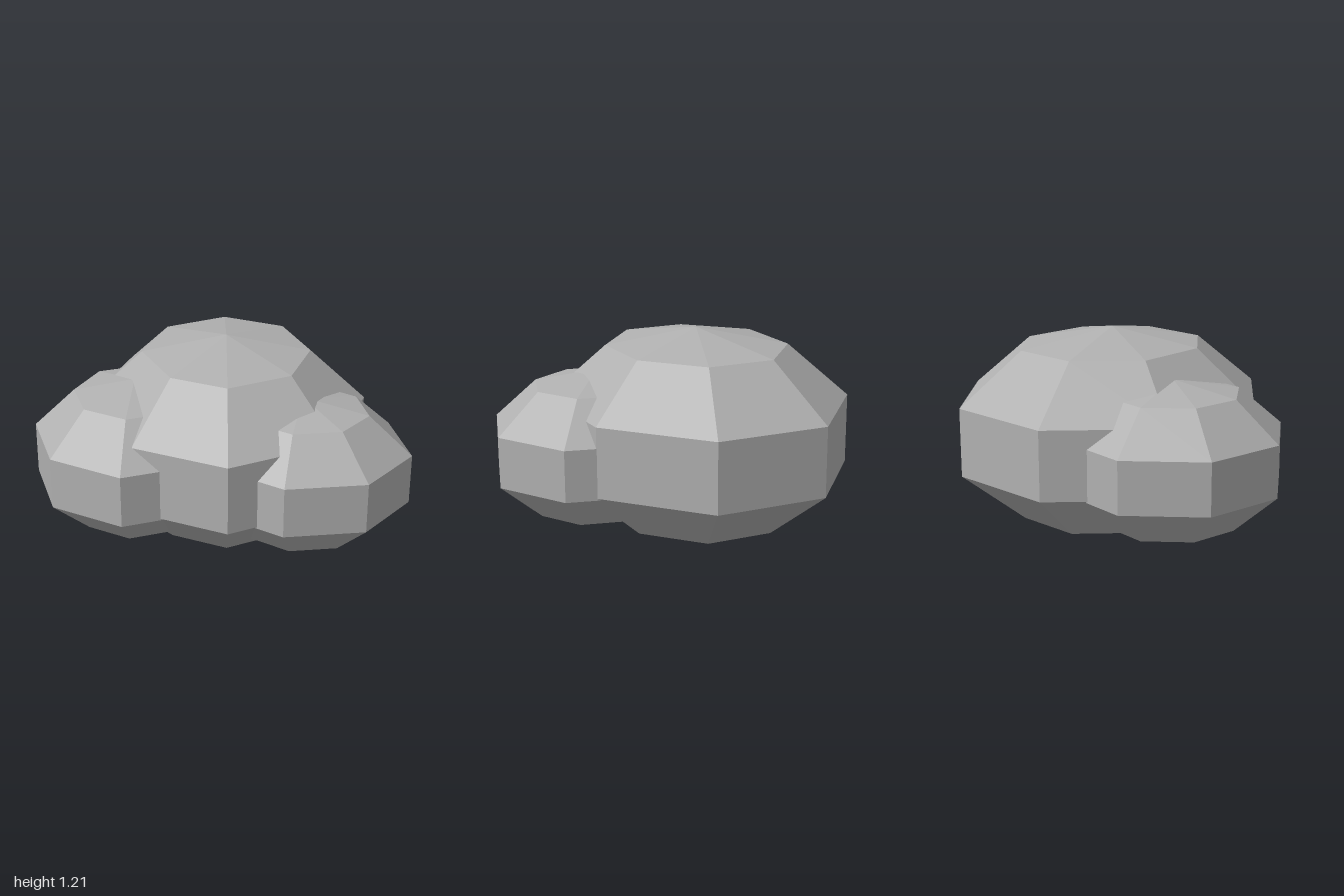
import * as THREE from 'three';

// Faceted boulder: a vertical-walled outline, tapered above and below to points.
// outline: [x, z] offsets from the centre, running front -> left (+x) -> back -> right.
function boulder(name, material, [cx, cy, cz], halfHeight, outline) {
  const levels = [[-1, 0], [-0.833, 0.6], [-0.333, 1], [0.333, 1], [0.833, 0.6], [1, 0]];
  const n = outline.length;
  const positions = [];
  const index = [];
  for (const [h, r] of levels) {
    for (const [x, z] of outline) positions.push(x * r, h * halfHeight, z * r);
  }
  for (let l = 0; l < levels.length - 1; l++) {
    for (let i = 0; i < n; i++) {
      const j = (i + 1) % n;
      const a = l * n + i, b = l * n + j, c = b + n, d = a + n;
      if (l > 0) index.push(a, b, d);
      if (l === 0) index.push(a, c, d);
      else if (l < levels.length - 2) index.push(b, c, d);
    }
  }
  const indexed = new THREE.BufferGeometry();
  indexed.setAttribute('position', new THREE.Float32BufferAttribute(positions, 3));
  indexed.setIndex(index);
  const geometry = indexed.toNonIndexed();
  geometry.computeVertexNormals();
  const mesh = new THREE.Mesh(geometry, material);
  mesh.name = name;
  mesh.position.set(cx, cy, cz);
  return mesh;
}

export function createModel() {
  const group = new THREE.Group();
  group.name = 'rockCluster';
  const stone = new THREE.MeshStandardMaterial({ color: 0xb0b0b0, flatShading: true });
  stone.name = 'grey stone';

  // Large central rock
  group.add(boulder('mainRock', stone, [0.12, 0.605, -0.1], 0.605, [
    [-0.29, 0.86], [0.37, 0.775], [0.78, 0.25], [0.76, -0.44],
    [0.29, -0.88], [-0.35, -0.8], [-0.78, -0.25], [-0.71, 0.46],
  ]));

  // Smaller rock on the -x side
  group.add(boulder('rightRock', stone, [-0.43, 0.545, -0.12], 0.455, [
    [-0.26, 0.6], [0.23, 0.595], [0.55, 0.25], [0.55, -0.25],
    [0.22, -0.58], [-0.21, -0.575], [-0.55, -0.22], [-0.57, 0.26],
  ]));

  // Smaller rock at the front on the +x side
  group.add(boulder('frontLeftRock', stone, [0.405, 0.54, 0.39], 0.44, [
    [-0.295, 0.48], [0.155, 0.575], [0.53, 0.34], [0.595, -0.1],
    [0.37, -0.42], [-0.1, -0.56], [-0.5, -0.3], [-0.57, 0.12],
  ]));

  return group;
}
